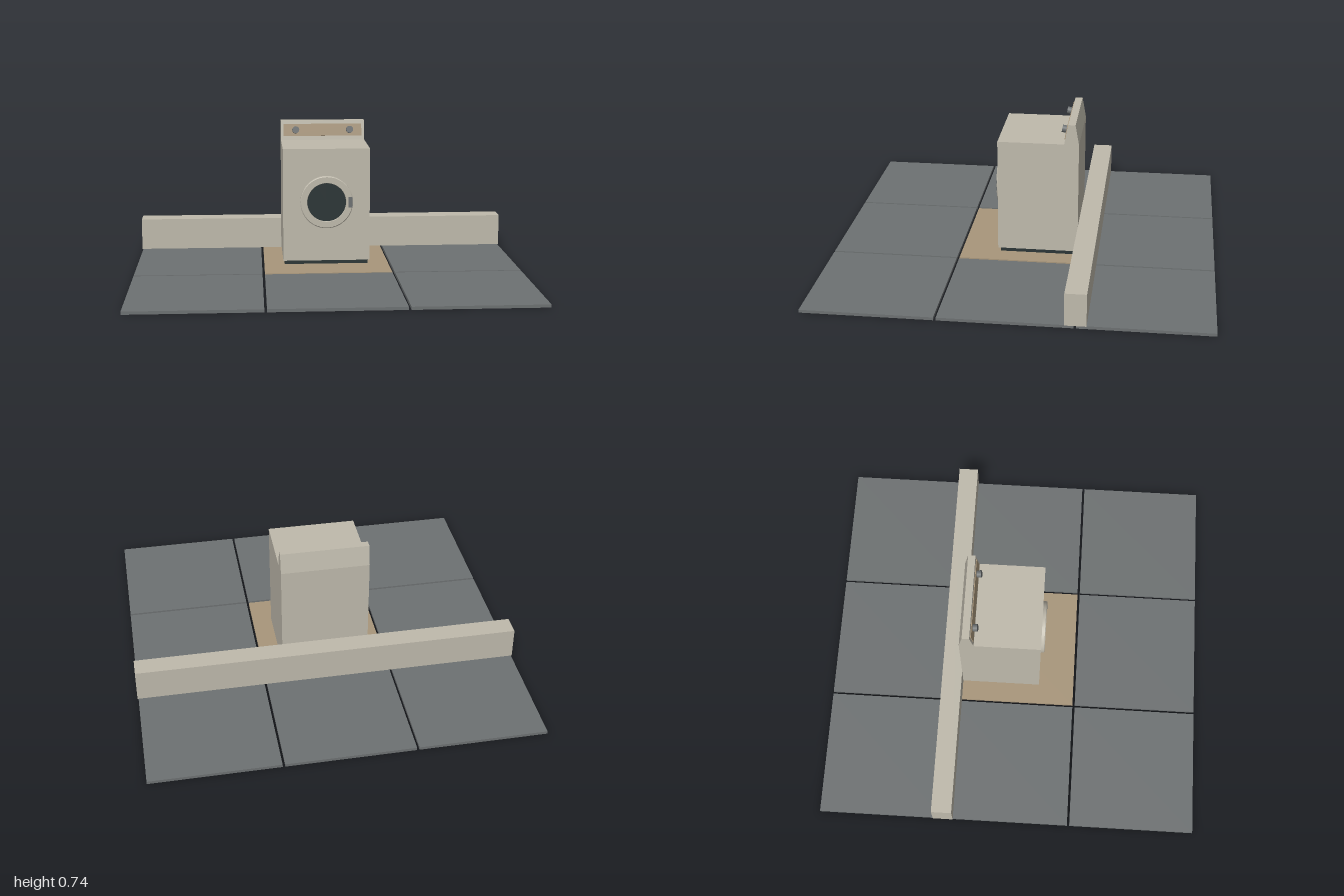
import * as THREE from 'three';
import { toCreasedNormals } from 'three/addons/utils/BufferGeometryUtils.js';

const material = (name, color) => new THREE.MeshStandardMaterial({ name, color });

export function createModel() {
  const model = new THREE.Group();
  model.name = 'washingMachineScene';

  const cream = material('cream', 0xbfbaac);
  const tan = material('tan', 0xa8967b);
  const slate = material('slate', 0x6d7172);
  const dark = material('darkGlass', 0x2b3536);

  const add = (parent, name, geometry, mat, x = 0, y = 0, z = 0) => {
    const mesh = new THREE.Mesh(geometry, mat);
    mesh.name = name;
    mesh.position.set(x, y, z);
    parent.add(mesh);
    return mesh;
  };
  const box = (w, h, d) => new THREE.BoxGeometry(w, h, d);
  // Cylinder whose axis points forward
  const disc = (r, depth, sides) =>
    new THREE.CylinderGeometry(r, r, depth, sides).rotateX(Math.PI / 2);

  // Floor: three by three tiles, the middle one tan
  const floor = new THREE.Group();
  floor.name = 'floor';
  model.add(floor);
  for (let i = -1; i <= 1; i++) {
    for (let j = -1; j <= 1; j++) {
      const middle = i === 0 && j === 0;
      add(floor, middle ? 'middleTile' : 'floorTile', box(0.655, 0.015, 0.655),
        middle ? tan : slate, i * 0.6675, 0.0075, j * 0.6675);
    }
  }

  // Low wall behind the machine
  add(model, 'lowWall', box(2, 0.167, 0.106), cream, 0, 0.0985, -0.336);

  // Machine: plinth and cabinet
  const machine = new THREE.Group();
  machine.name = 'washingMachine';
  model.add(machine);
  add(machine, 'plinth', box(0.44, 0.022, 0.388), dark, 0, 0.025, -0.071);
  add(machine, 'cabinet', box(0.455, 0.594, 0.419), cream, 0, 0.333, -0.0725);

  // Tapered backsplash, profile drawn in the side plane
  const profile = new THREE.Shape([
    [-0.282, 0.63], [-0.263, 0.735], [-0.225, 0.735], [-0.206, 0.63],
  ].map(([z, y]) => new THREE.Vector2(z, y)));
  const backsplash = new THREE.ExtrudeGeometry(profile, { depth: 0.455, bevelEnabled: false })
    .rotateY(-Math.PI / 2).translate(0.2275, 0, 0);
  add(machine, 'backsplash', backsplash, cream);

  // Control panel lying on the sloped front of the backsplash
  const controls = new THREE.Group();
  controls.name = 'controls';
  controls.position.set(0, 0.684, -0.2158);
  controls.rotation.x = -Math.atan2(0.019, 0.105);
  machine.add(controls);
  add(controls, 'controlPanel', box(0.425, 0.066, 0.006), tan, 0, 0, 0.001);
  for (const side of [-1, 1]) {
    add(controls, 'knob', disc(0.019, 0.024, 24), slate, side * 0.147, 0, 0.015);
  }

  // Round door: ring, glass and handle
  const door = new THREE.Group();
  door.name = 'door';
  door.position.set(0, 0.35, 0.137);
  machine.add(door);
  const ringProfile = [
    [0.138, 0], [0.138, 0.016], [0.134, 0.02], [0.103, 0.02], [0.1, 0.01],
  ].map(([r, h]) => new THREE.Vector2(r, h));
  const ring = toCreasedNormals(
    new THREE.LatheGeometry(ringProfile, 48).rotateX(Math.PI / 2), 0.6);
  add(door, 'doorRing', ring, cream);
  add(door, 'doorGlass', disc(0.101, 0.014, 48), dark, 0, 0, 0.007);
  add(door, 'doorHandle', box(0.022, 0.055, 0.02), slate, 0.124, 0, 0.012);

  return model;
}
